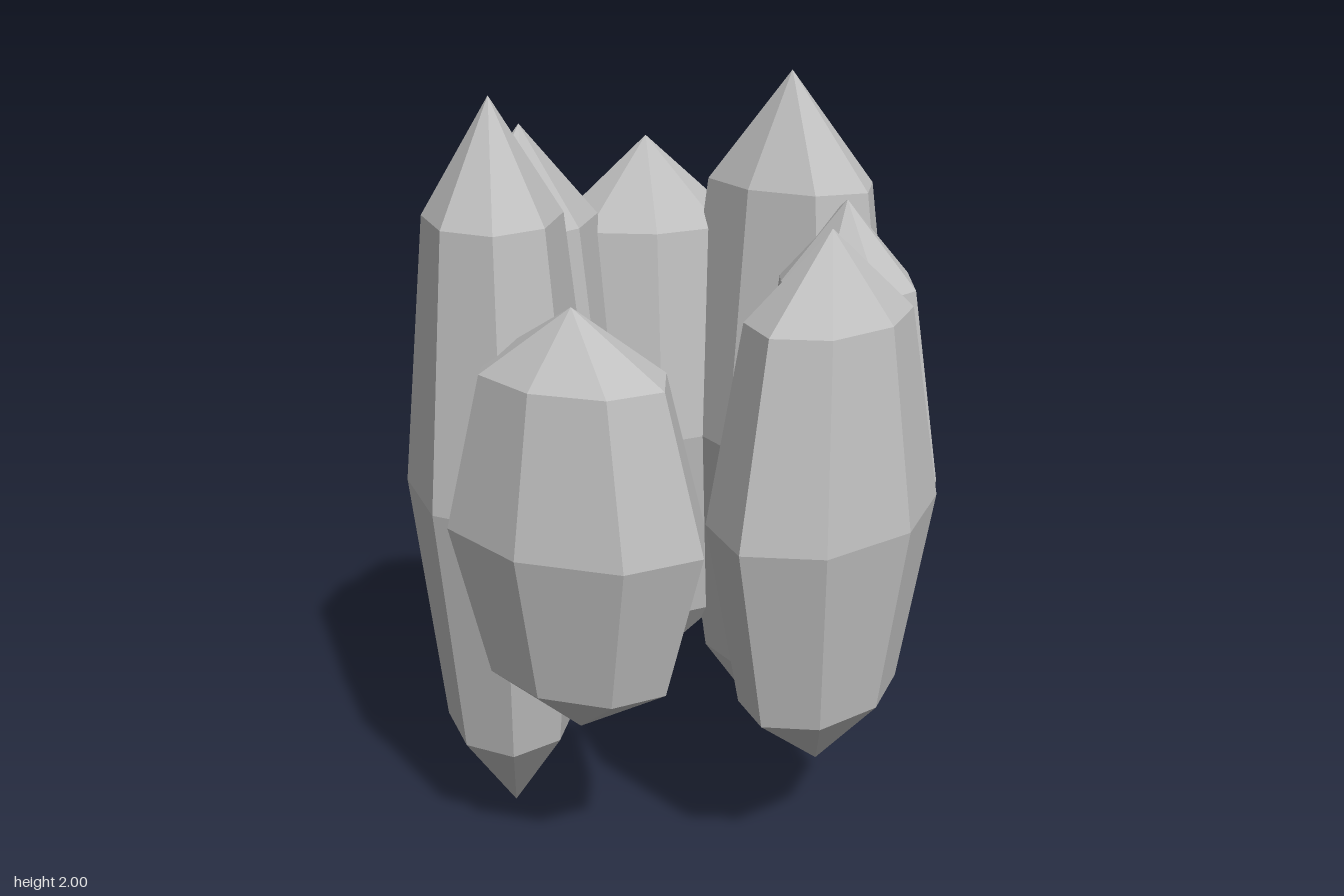
import * as THREE from 'three';

// Ring of faceted, double-pointed crystals, all centred at mid height.
// [x, z, half height, angle around the ring in degrees]
const CRYSTALS = [
  [0.453, -0.012, 1.0, 0],
  [0.272, -0.376, 0.81, 52.7],
  [-0.122, -0.458, 0.88, 104.5],
  [-0.343, -0.323, 0.99, 138],
  [-0.457, 0.066, 0.555, 189.8],
  [0.038, 0.447, 0.715, 274.8],
  [0.384, 0.233, 0.7, 327],
];

export function createModel() {
  const model = new THREE.Group();
  model.name = 'crystalRing';

  const stone = new THREE.MeshStandardMaterial({ color: 0xbfbfbf });
  stone.name = 'grey stone';
  stone.flatShading = true;

  // Eight sides, with a waist ring and two shoulder rings
  const gem = new THREE.SphereGeometry(1, 8, 4);

  CRYSTALS.forEach(([x, z, halfHeight, degrees], i) => {
    const crystal = new THREE.Mesh(gem, stone);
    crystal.name = `crystal${i + 1}`;
    crystal.position.set(x, 1, z);
    // Narrow towards the ring's centre, wide along the ring
    crystal.scale.set(0.25, halfHeight, 0.367);
    crystal.rotation.y = THREE.MathUtils.degToRad(degrees);
    model.add(crystal);
  });

  return model;
}
